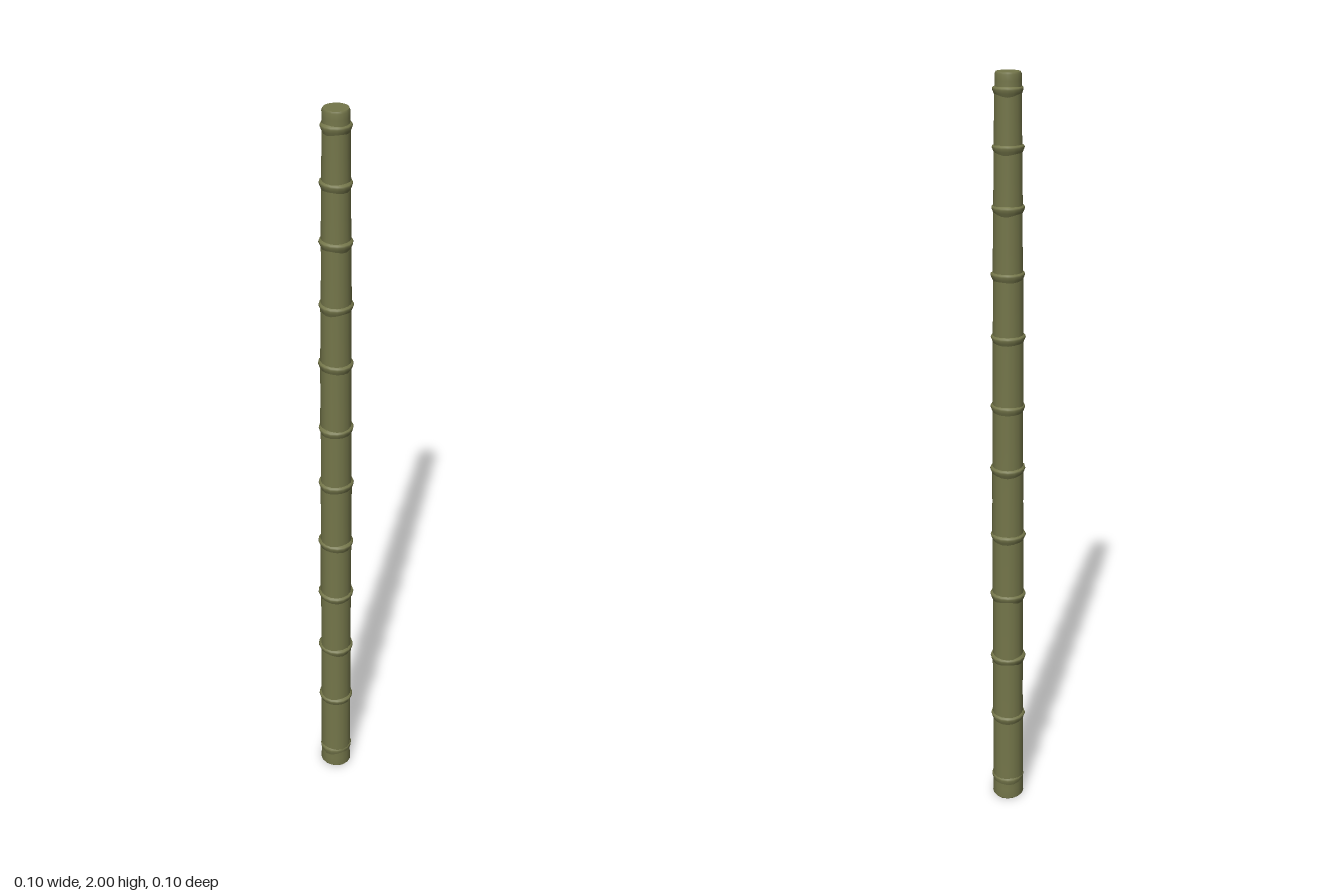
import * as THREE from 'three';

const SIDES = 16;

export function createModel() {
  const model = new THREE.Group();
  model.name = 'bambooPole';
  const bamboo = new THREE.MeshStandardMaterial({ color: 0x74764a });
  bamboo.name = 'olive bamboo';

  const add = (name, geometry) => {
    const mesh = new THREE.Mesh(geometry, bamboo);
    mesh.name = name;
    model.add(mesh);
    return mesh;
  };

  // Small seeded generator for the uneven growth
  let seed = 7;
  const rand = () => (seed = (seed * 16807) % 2147483647) / 2147483647;

  // Stem radius, tapering faster towards the tip
  const radius = (y) => 0.0425 - 0.001 * y - 0.0085 * Math.pow(y / 2, 3);

  // Lathe with a slightly uneven outline
  const stalk = (points) => {
    const geometry = new THREE.LatheGeometry(points.map(([r, y]) => new THREE.Vector2(r, y)), SIDES);
    const phase = rand() * Math.PI * 2;
    const pos = geometry.attributes.position;
    for (let i = 0; i < pos.count; i++) {
      const x = pos.getX(i), z = pos.getZ(i);
      const a = Math.atan2(z, x);
      const k = 1 + 0.018 * Math.sin(3 * a + phase) + 0.012 * Math.sin(2 * a - phase);
      pos.setX(i, x * k);
      pos.setZ(i, z * k);
    }
    return geometry;
  };

  // Internodes: straight stem between neighbouring nodes
  const nodes = [0.06, 0.26, 0.445, 0.635, 0.81, 1.0, 1.17, 1.355, 1.515, 1.68, 1.825, 1.96];
  const ends = [0, ...nodes, 2];
  for (let i = 0; i < ends.length - 1; i++) {
    const y0 = ends[i], y1 = ends[i + 1];
    const tip = i === ends.length - 2;
    const points = [];
    if (i === 0) points.push([radius(0) - 0.002, 0], [radius(0) + 0.001, 0.004]);
    else points.push([radius(y0), y0]);
    points.push([radius((y0 + y1) / 2) - 0.0005, (y0 + y1) / 2]);
    if (tip) points.push([radius(1.995), 1.995], [radius(2) - 0.003, 2]);
    else points.push([radius(y1), y1]);
    add('internode' + (i + 1), stalk(points));
  }

  // Node ridges: gentle flare below, sharp step above
  nodes.forEach((y, i) => {
    const r = radius(y);
    const lip = i === 0 ? 0.0025 : 0.0045 + 0.0015 * rand();
    const ring = add('nodeRidge' + (i + 1), stalk([
      [r - 0.002, y - 0.018], [r + lip * 0.45, y - 0.008],
      [r + lip, y], [r + lip * 0.8, y + 0.004], [r - 0.002, y + 0.008],
    ]));
    ring.rotation.set((rand() - 0.5) * 0.05, 0, (rand() - 0.5) * 0.05);
    // Tilt about the ridge's own height
    ring.geometry.translate(0, -y, 0);
    ring.position.y = y;
  });

  // Cut ends
  const topCap = add('topCut', new THREE.CircleGeometry(radius(2) - 0.002, SIDES));
  topCap.rotation.x = -Math.PI / 2;
  topCap.position.y = 2;
  const bottomCap = add('bottomCut', new THREE.CircleGeometry(radius(0) - 0.001, SIDES));
  bottomCap.rotation.x = Math.PI / 2;

  return model;
}
